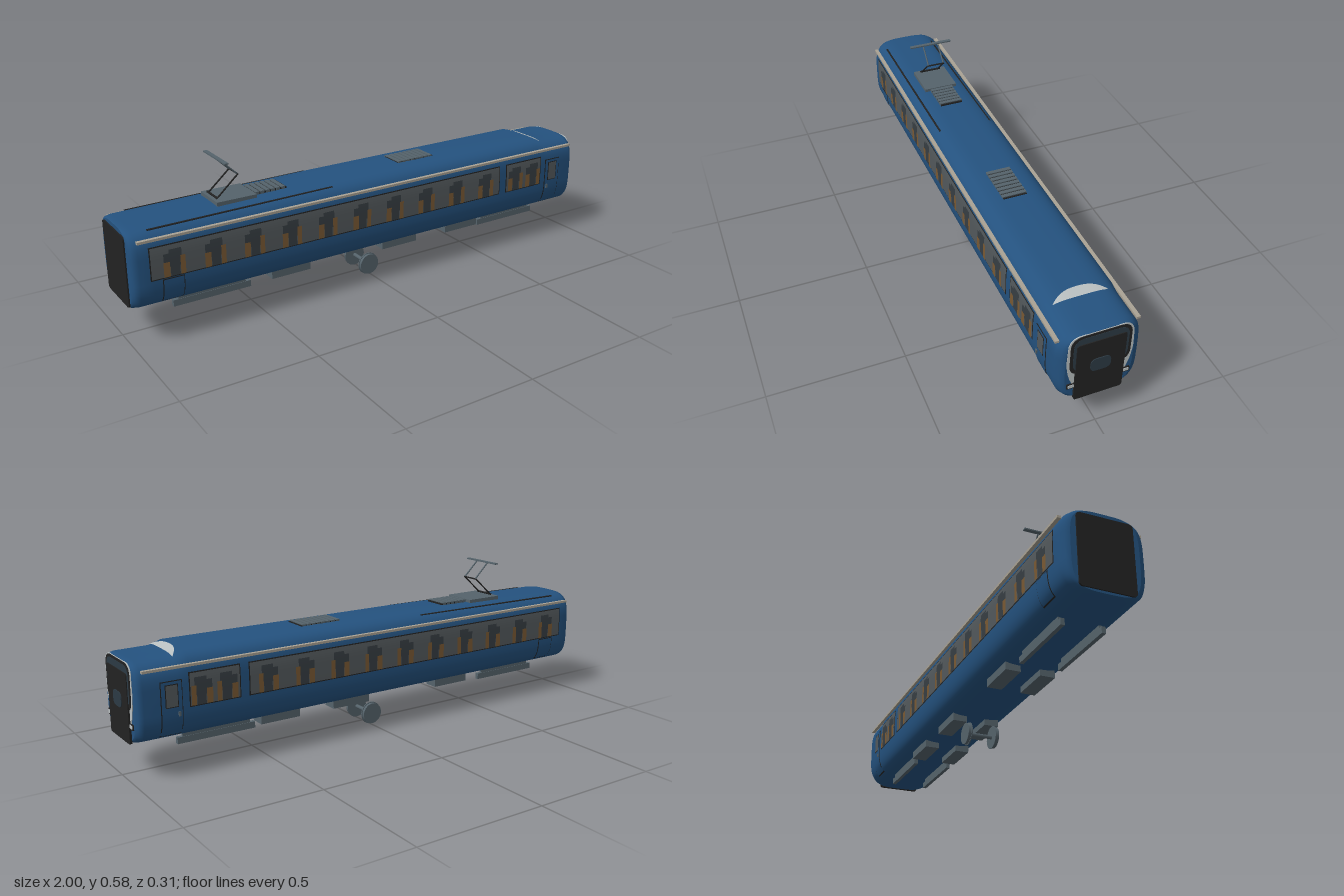
import * as THREE from 'three';

const mat = (name, color) => {
  const m = new THREE.MeshStandardMaterial({ color });
  m.name = name;
  return m;
};
const HALF_W = 0.147, MID_Y = 0.285, BOTTOM = 0.152;

// Height of the roof above the middle line, along the carriage
function roofHeight(x) {
  const pts = [[-1, 0.139], [-0.92, 0.14], [-0.2, 0.15], [0.795, 0.152], [0.84, 0.137], [1, 0.136]];
  for (let i = 1; i < pts.length; i++) {
    const [x0, h0] = pts[i - 1], [x1, h1] = pts[i];
    if (x <= x1) return h0 + (h1 - h0) * (x - x0) / (x1 - x0);
  }
  return 0.136;
}
const roofY = (x, z) => MID_Y + roofHeight(x) * Math.pow(1 - Math.pow(Math.abs(z) / HALF_W, 4), 0.25);
const sideZ = (y) => HALF_W * Math.pow(1 - Math.pow(Math.abs(y - MID_Y) / 0.152, 4), 0.25);

// Rounded-square sections joined along x, with tucked-in ends
function bodyGeometry() {
  const N = 64, pos = [], idx = [];
  const sections = [[-0.995, 0.82, 0.975], [-0.99, 0.93, 0.99], [-0.97, 1, 1], [-0.92, 1, 1], [-0.2, 1, 1],
    [0.795, 1, 1], [0.84, 1, 1], [0.965, 1, 1], [0.983, 0.93, 0.99], [0.989, 0.82, 0.975]];
  const root = (v) => Math.sign(v) * Math.sqrt(Math.abs(v));
  for (const [x, w, h] of sections) {
    for (let j = 0; j < N; j++) {
      const a = j / N * Math.PI * 2, s = root(Math.sin(a));
      pos.push(x, MID_Y + s * h * (s > 0 ? roofHeight(x) : BOTTOM), HALF_W * w * root(Math.cos(a)));
    }
  }
  for (let i = 0; i < sections.length - 1; i++) {
    for (let j = 0; j < N; j++) {
      const a = i * N + j, b = i * N + (j + 1) % N;
      idx.push(a, a + N, b, b, a + N, b + N);
    }
  }
  // End caps with their own corners so the edge stays sharp
  for (const [row, front] of [[0, false], [sections.length - 1, true]]) {
    const start = pos.length / 3;
    for (let j = 0; j < N; j++) pos.push(...pos.slice((row * N + j) * 3, (row * N + j) * 3 + 3));
    pos.push(sections[row][0], MID_Y, 0);
    for (let j = 0; j < N; j++) {
      const a = start + j, b = start + (j + 1) % N;
      idx.push(start + N, front ? b : a, front ? a : b);
    }
  }
  const g = new THREE.BufferGeometry();
  g.setAttribute('position', new THREE.Float32BufferAttribute(pos, 3));
  g.setIndex(idx);
  g.computeVertexNormals();
  return g;
}

// Thin panel that follows the curve of the side wall; s is +1 or -1
function sidePatch(x0, x1, y0, y1, off, s) {
  const g = new THREE.PlaneGeometry(x1 - x0, y1 - y0, 1, 8);
  g.translate(s * (x0 + x1) / 2, (y0 + y1) / 2, 0);
  const p = g.attributes.position;
  for (let i = 0; i < p.count; i++) p.setZ(i, sideZ(p.getY(i)) + off);
  g.computeVertexNormals();
  if (s < 0) g.rotateY(Math.PI);
  return g;
}

// Rounded rectangle in the end plane
function roundRect(z0, z1, y0, y1, r, Type = THREE.Shape) {
  const s = new Type();
  s.moveTo(z0 + r, y0);
  s.lineTo(z1 - r, y0); s.quadraticCurveTo(z1, y0, z1, y0 + r);
  s.lineTo(z1, y1 - r); s.quadraticCurveTo(z1, y1, z1 - r, y1);
  s.lineTo(z0 + r, y1); s.quadraticCurveTo(z0, y1, z0, y1 - r);
  s.lineTo(z0, y0 + r); s.quadraticCurveTo(z0, y0, z0 + r, y0);
  return s;
}
function endPlate(shape, x, depth) {
  const g = new THREE.ExtrudeGeometry(shape, { depth, bevelEnabled: false, curveSegments: 10 });
  return g.rotateY(Math.PI / 2).translate(x, 0, 0);
}

export function createModel() {
  const model = new THREE.Group();
  model.name = 'railCarriage';
  const blue = mat('bodyBlue', 0x24527f), white = mat('paleGrey', 0xb9bfc0), black = mat('black', 0x222222);
  const glass = mat('windowGrey', 0x53595c), screen = mat('windscreen', 0x2c3a44), seatDark = mat('seatShadow', 0x373e43);
  const brown = mat('seatBrown', 0x7a5a34), metal = mat('metalGrey', 0x55636b), cream = mat('railCream', 0xa9a294);
  const add = (name, geo, m) => {
    const mesh = new THREE.Mesh(geo, m);
    mesh.name = name;
    model.add(mesh);
    return mesh;
  };
  const box = (name, x0, x1, y0, y1, z0, z1, m) => add(name, new THREE.BoxGeometry(x1 - x0, y1 - y0, z1 - z0)
    .translate((x0 + x1) / 2, (y0 + y1) / 2, (z0 + z1) / 2), m);
  const rod = (name, a, b, r, m) => add(name,
    new THREE.TubeGeometry(new THREE.LineCurve3(new THREE.Vector3(...a), new THREE.Vector3(...b)), 1, r, 8), m);

  add('body', bodyGeometry(), blue);

  for (const s of [1, -1]) {
    const patch = (name, x0, x1, y0, y1, off, m) => add(name, sidePatch(x0, x1, y0, y1, off, s), m);
    const mirrored = (name, x0, x1, y0, y1, z0, z1, m) =>
      box(name, x0, x1, y0, y1, Math.min(s * z0, s * z1), Math.max(s * z0, s * z1), m);

    // Window bands with seats showing through
    for (const [x0, x1] of [[-0.93, 0.575], [0.615, 0.8]]) {
      patch('windowFrame', x0 - 0.004, x1 + 0.004, 0.247, 0.368, 0.0015, black);
      patch('window', x0, x1, 0.251, 0.364, 0.0025, glass);
    }
    const bays = [0.66, 0.755];
    for (let i = 0; i < 10; i++) bays.push(-0.85 + i * 0.15);
    for (const c of bays) {
      patch('seatBack', c - 0.035, c + 0.03, 0.285, 0.335, 0.0035, seatDark);
      patch('headrest', c - 0.015, c + 0.03, 0.335, 0.348, 0.0035, seatDark);
      patch('seatBase', c - 0.012, c + 0.022, 0.251, 0.285, 0.0035, seatDark);
      patch('seatCushion', c - 0.037, c - 0.014, 0.251, 0.305, 0.0045, brown);
      patch('seatCushion', c + 0.024, c + 0.042, 0.251, 0.32, 0.0045, brown);
    }

    // Cab door and rear hatch
    patch('doorSeam', 0.828, 0.907, 0.153, 0.35, 0.0015, black);
    patch('door', 0.831, 0.904, 0.156, 0.347, 0.003, blue);
    patch('doorWindowFrame', 0.844, 0.891, 0.257, 0.338, 0.004, black);
    patch('doorWindow', 0.847, 0.888, 0.26, 0.335, 0.005, glass);
    mirrored('doorHandle', 0.838, 0.846, 0.224, 0.24, 0.147, 0.154, metal);
    patch('hatchSeam', -0.892, -0.813, 0.155, 0.245, 0.0015, black);
    patch('hatch', -0.889, -0.816, 0.158, 0.242, 0.003, blue);

    // Gutter rail, roof seam, underfloor equipment
    mirrored('gutterRail', -0.97, 0.965, 0.388, 0.397, 0.135, 0.149, cream);
    rod('roofSeam', [-0.92, roofY(-0.92, 0.105), s * 0.105], [-0.2, roofY(-0.2, 0.105) - 0.002, s * 0.105], 0.004, black);
    for (const x of [-0.835, 0.525]) {
      mirrored('longSkid', x, x + 0.3, 0.098, 0.122, 0.065, 0.08, metal);
      mirrored('skidMount', x + 0.02, x + 0.28, 0.12, 0.14, 0.067, 0.078, metal);
    }
    for (const x of [-0.455, 0.035, 0.345]) mirrored('underfloorBox', x, x + 0.162, 0.11, 0.15, 0.037, 0.094, metal);

    // Wheels with an inner flange
    const wheel = [[0, 0.048], [0.043, 0.048], [0.043, 0.052], [0.04, 0.053], [0.04, 0.062], [0, 0.062]];
    const wheelGeo = new THREE.CylinderGeometry(0.041, 0.041, wheel[5][1] - wheel[0][1], 28);
    add('wheel', wheelGeo.rotateX(Math.PI / 2).translate(-0.005, 0.044, s * 0.055), metal);
    add('wheelFlange', new THREE.CylinderGeometry(0.044, 0.044, 0.004, 28).rotateX(Math.PI / 2)
      .translate(-0.005, 0.044, s * 0.049), metal);

    // Pantograph arms
    rod('lowerArm', [-0.63, 0.445, s * 0.036], [-0.545, 0.52, s * 0.035], 0.003, black);
    rod('upperArm', [-0.545, 0.518, s * 0.033], [-0.61, 0.58, s * 0.032], 0.003, metal);

    // Headlights
    add('headlightFrame', endPlate(roundRect(Math.min(s * 0.08, s * 0.113), Math.max(s * 0.08, s * 0.113),
      0.189, 0.21, 0.005), 0.989, 0.004), black);
    add('headlight', endPlate(roundRect(Math.min(s * 0.086, s * 0.109), Math.max(s * 0.086, s * 0.109),
      0.194, 0.206, 0.003), 0.989, 0.006), white);
  }
  rod('axle', [-0.005, 0.044, -0.055], [-0.005, 0.044, 0.055], 0.008, metal);

  // Roof equipment
  box('pantographPlate', -0.645, -0.49, 0.426, 0.442, -0.068, 0.068, metal);
  box('pantographHead', -0.618, -0.603, 0.58, 0.585, -0.088, 0.088, metal);
  rod('armPivot', [-0.63, 0.446, -0.045], [-0.63, 0.446, 0.045], 0.004, black);
  rod('elbowBar', [-0.545, 0.519, -0.036], [-0.545, 0.519, 0.036], 0.003, black);
  for (const [x0, n] of [[-0.485, 6], [0.138, 8]]) {
    const len = n * 0.021;
    box('ventBase', x0, x0 + len, 0.425, 0.4385, -0.045, 0.045, black);
    for (let i = 0; i < n; i++) box('ventSlat', x0 + i * 0.021, x0 + i * 0.021 + 0.015, 0.43, 0.442, -0.047, 0.047, metal);
  }

  // Pale crescent where the roof steps down to the cab
  const crescent = new THREE.PlaneGeometry(1, 1, 24, 4);
  const p = crescent.attributes.position;
  for (let i = 0; i < p.count; i++) {
    const z = p.getX(i) * -0.2, t = p.getY(i) + 0.5;
    const x = 0.837 - 0.034 * (1 - Math.pow(Math.abs(z) / 0.1, 2.5)) * (1 - t);
    p.setXYZ(i, x, roofY(x, z) + 0.002, z);
  }
  crescent.computeVertexNormals();
  const pale = add('roofCrescent', crescent, white);
  pale.material.side = THREE.DoubleSide;

  // Cab face: pale surround, black arch, windscreen, gangway door
  const surround = new THREE.Shape();
  surround.moveTo(-0.095, 0.21);
  surround.lineTo(0.095, 0.21);
  surround.quadraticCurveTo(0.114, 0.25, 0.117, 0.31);
  surround.lineTo(0.115, 0.37);
  surround.quadraticCurveTo(0.112, 0.416, 0.07, 0.416);
  surround.lineTo(-0.07, 0.416);
  surround.quadraticCurveTo(-0.112, 0.416, -0.115, 0.37);
  surround.lineTo(-0.117, 0.31);
  surround.quadraticCurveTo(-0.114, 0.25, -0.095, 0.21);
  add('cabSurround', endPlate(surround, 0.988, 0.003), white);
  add('windscreenFrame', endPlate(roundRect(-0.107, 0.107, 0.25, 0.414, 0.045), 0.989, 0.004), black);
  add('windscreen', endPlate(roundRect(-0.097, 0.097, 0.262, 0.405, 0.04), 0.989, 0.005), screen);
  add('gangwayDoor', endPlate(roundRect(-0.087, 0.087, 0.134, 0.38, 0.01), 0.988, 0.009), black);
  add('gangwayWindow', endPlate(roundRect(-0.036, 0.036, 0.248, 0.302, 0.022), 0.99, 0.01), screen);

  // Rear gangway opening
  add('rearGangway', endPlate(roundRect(-0.1, 0.1, 0.145, 0.405, 0.015), -1, 0.006), black);
  return model;
}
